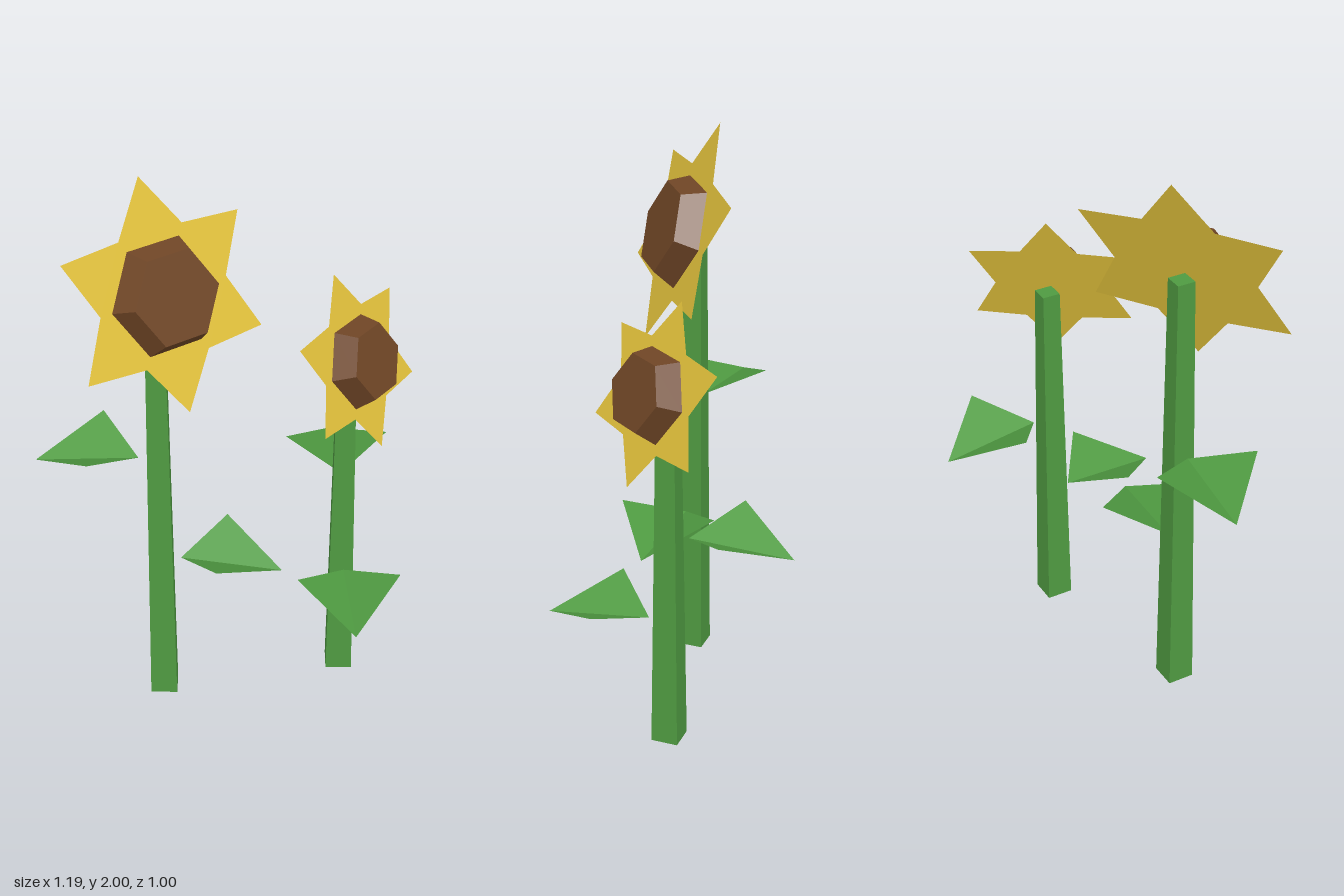
import * as THREE from 'three';

export function createModel() {
  const mat = (name, color, side = THREE.FrontSide) => {
    const m = new THREE.MeshStandardMaterial({ color, flatShading: true, side });
    m.name = name;
    return m;
  };
  const green = mat('leaf green', 0x4f9a41, THREE.DoubleSide);
  const yellow = mat('petal yellow', 0xe4c33c, THREE.DoubleSide);
  const brown = mat('seed brown', 0x704626);

  const add = (parent, name, geometry, material) => {
    const mesh = new THREE.Mesh(geometry, material);
    mesh.name = name;
    parent.add(mesh);
    return mesh;
  };

  // Six-pointed flat star of petals
  const starGeometry = (outer) => {
    const shape = new THREE.Shape();
    for (let i = 0; i < 12; i++) {
      const r = i % 2 ? outer : outer * 0.62;
      const a = (i * Math.PI) / 6;
      shape[i ? 'lineTo' : 'moveTo'](r * Math.cos(a), r * Math.sin(a));
    }
    shape.closePath();
    return new THREE.ShapeGeometry(shape);
  };

  // Leaf folded along its midrib, growing along +z
  const leafGeometry = () => {
    const base = [0, 0, 0.07], tip = [0, -0.03, 0.427];
    const left = [0.182, 0.072, 0.216], right = [-0.182, 0.072, 0.216];
    const g = new THREE.BufferGeometry();
    g.setAttribute('position', new THREE.Float32BufferAttribute(
      [base, tip, left, base, right, tip].flat(), 3));
    g.computeVertexNormals();
    return g;
  };

  const makeFlower = ({ name, x, z, height, size, yaw, leaves }) => {
    const flower = new THREE.Group();
    flower.name = name;
    flower.position.set(x, 0, z);

    // Tapered square stem
    const stem = new THREE.CylinderGeometry(0.045, 0.067, height, 4);
    add(flower, 'stem', stem.translate(0, height / 2, 0), green);

    // Leaves
    for (const [y, dx, dz] of leaves) {
      const leaf = add(flower, 'leaf', leafGeometry(), green);
      leaf.position.y = y;
      leaf.rotation.y = Math.atan2(dx, dz);
    }

    // Head leaning back: petals and faceted seed disc
    const head = new THREE.Group();
    head.name = 'flowerHead';
    head.position.set(0, height, 0.05);
    head.rotation.set(-0.344, yaw, 0, 'YXZ');
    add(head, 'petals', starGeometry(0.396 * size), yellow);
    const disc = new THREE.CylinderGeometry(0.163 * size, 0.202 * size, 0.08, 6);
    disc.rotateY(Math.PI / 6).rotateX(Math.PI / 2).translate(0, 0, 0.041);
    add(head, 'seedDisc', disc, brown);
    flower.add(head);
    return flower;
  };

  const model = new THREE.Group();
  model.name = 'sunflowers';
  model.add(
    makeFlower({
      name: 'tallFlower', x: -0.247, z: -0.173, height: 1.628, size: 1, yaw: -0.139,
      leaves: [[0.983, -0.64, -0.768], [0.574, 0.64, 0.768]],
    }),
    makeFlower({
      name: 'shortFlower', x: 0.312, z: 0.175, height: 1.302, size: 0.8, yaw: 0.172,
      leaves: [[0.786, 0.64, -0.768], [0.462, -0.64, 0.768]],
    }),
  );
  return model;
}
